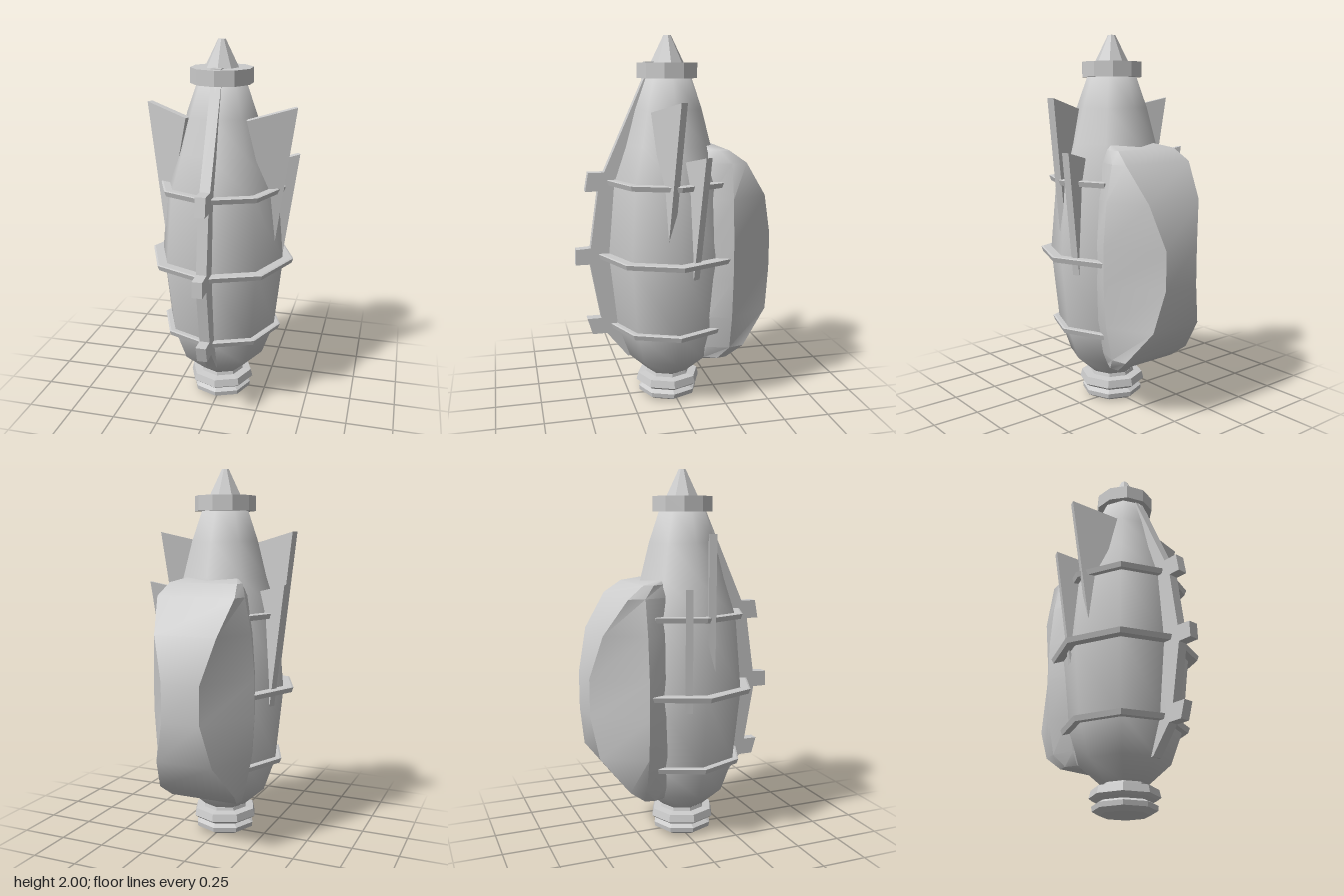
import * as THREE from 'three';
import { toCreasedNormals } from 'three/addons/utils/BufferGeometryUtils.js';

const AXIS_Z = 0.025; // the hull sits slightly forward of the centre

const smooth = new THREE.MeshStandardMaterial({ color: 0xcccccc });
const flat = new THREE.MeshStandardMaterial({ color: 0xcccccc, flatShading: true });

function add(group, name, geometry, material = flat) {
  const mesh = new THREE.Mesh(geometry, material);
  mesh.name = name;
  group.add(mesh);
  return mesh;
}

// Turned part around the hull axis, first corner facing the front
function turned(profile, sides) {
  const points = profile.map(([r, y]) => new THREE.Vector2(r, y));
  return new THREE.LatheGeometry(points, sides).translate(0, 0, AXIS_Z);
}

// Flat plate of given thickness, centred on its own plane
function plate(outline, thickness) {
  const shape = new THREE.Shape(outline.map(([x, y]) => new THREE.Vector2(x, y)));
  return new THREE.ExtrudeGeometry(shape, { depth: thickness, bevelEnabled: false })
    .translate(0, 0, -thickness / 2);
}

// Rear pod lofted from horizontal sections: height, rear z, rear half width, side half width
function podGeometry() {
  const rows = [
    [1.43, -0.16, 0.145, 0.15], [1.41, -0.265, 0.19, 0.2], [1.345, -0.355, 0.215, 0.235],
    [1.16, -0.477, 0.17, 0.27], [0.93, -0.535, 0.105, 0.29], [0.73, -0.535, 0.105, 0.29],
    [0.51, -0.5, 0.155, 0.275], [0.325, -0.355, 0.215, 0.235], [0.255, -0.265, 0.19, 0.2],
    [0.24, -0.16, 0.145, 0.15],
  ];
  const positions = [];
  const index = [];
  const n = 8;
  for (const [y, rearZ, rearW, sideW] of rows) {
    const half = [[0.1, -0.05], [sideW * 0.85, -0.15], [sideW, Math.max(-0.27, rearZ * 0.8)], [rearW, rearZ]];
    if (rearZ > -0.2) { half[1] = [0.14, -0.13]; half[2] = [0.147, -0.148]; }
    const loop = [...half, ...half.map(([x, z]) => [-x, z]).reverse()];
    for (const [x, z] of loop) positions.push(x, y, z);
  }
  for (let i = 0; i < rows.length - 1; i++) {
    for (let j = 0; j < n; j++) {
      const a = i * n + j, b = i * n + (j + 1) % n;
      index.push(a, a + n, b, b, a + n, b + n);
    }
  }
  const last = (rows.length - 1) * n;
  for (let j = 1; j < n - 1; j++) {
    index.push(0, j, j + 1, last, last + j + 1, last + j);
  }
  const geometry = new THREE.BufferGeometry();
  geometry.setAttribute('position', new THREE.Float32BufferAttribute(positions, 3));
  geometry.setIndex(index);
  return toCreasedNormals(geometry, 0.6);
}

export function createModel() {
  const model = new THREE.Group();
  model.name = 'finnedCapsule';

  // Hull
  add(model, 'hull', turned([
    [0, 0.13], [0.11, 0.14], [0.235, 0.25], [0.3, 0.43], [0.343, 0.83],
    [0.308, 1.23], [0.24, 1.43], [0.19, 1.62], [0.13, 1.79], [0, 1.79],
  ], 8), smooth);

  // Stepped nozzle under the hull
  add(model, 'nozzle', turned([
    [0, 0], [0.13, 0], [0.165, 0.02], [0.168, 0.045], [0.14, 0.06], [0.165, 0.072],
    [0.182, 0.085], [0.172, 0.125], [0.125, 0.13], [0.12, 0.148], [0, 0.148],
  ], 8));

  // Collar and pointed tip
  add(model, 'collar', turned([[0, 1.78], [0.165, 1.78], [0.165, 1.86], [0, 1.86]], 10));
  add(model, 'tip', turned([[0, 1.85], [0.09, 1.86], [0.02, 2], [0, 2]], 8));

  // Bands around the hull
  for (const [y, r] of [[0.43, 0.337], [0.832, 0.4], [1.235, 0.348]]) {
    add(model, 'band', turned([
      [r - 0.1, y - 0.015], [r - 0.01, y - 0.015], [r, y + 0.012], [r - 0.01, y + 0.015], [r - 0.1, y + 0.015],
    ], 8));
  }

  // Front spine with three stepped lugs
  add(model, 'spine', plate([
    [0.08, 1.865], [0.15, 1.865], [0.155, 1.78], [0.375, 1.29], [0.46, 1.29], [0.478, 1.19],
    [0.41, 1.19], [0.455, 0.88], [0.535, 0.875], [0.538, 0.79], [0.46, 0.79], [0.405, 0.48],
    [0.482, 0.48], [0.455, 0.39], [0.375, 0.39], [0.26, 0.245], [0.2, 0.245], [0.2, 1.2],
  ], 0.055).rotateY(-Math.PI / 2));

  // Two swept fins on each side
  const sweep = 0.4;
  const fins = [
    ['frontFin', 0.155, 0.13, [[0, 1.61], [0.155, 0.95], [0.26, 1.67]]],
    ['rearFin', 0.235, -0.03, [[0, 1.36], [0.08, 0.75], [0.175, 1.4]]],
  ];
  for (const [name, x, z, outline] of fins) {
    for (const side of [1, -1]) {
      const fin = add(model, name, plate(outline, 0.038));
      fin.rotation.y = side > 0 ? sweep : Math.PI - sweep;
      fin.position.set(side * x, 0, z);
    }
  }

  // Rear pod
  add(model, 'rearPod', podGeometry(), smooth);

  return model;
}
